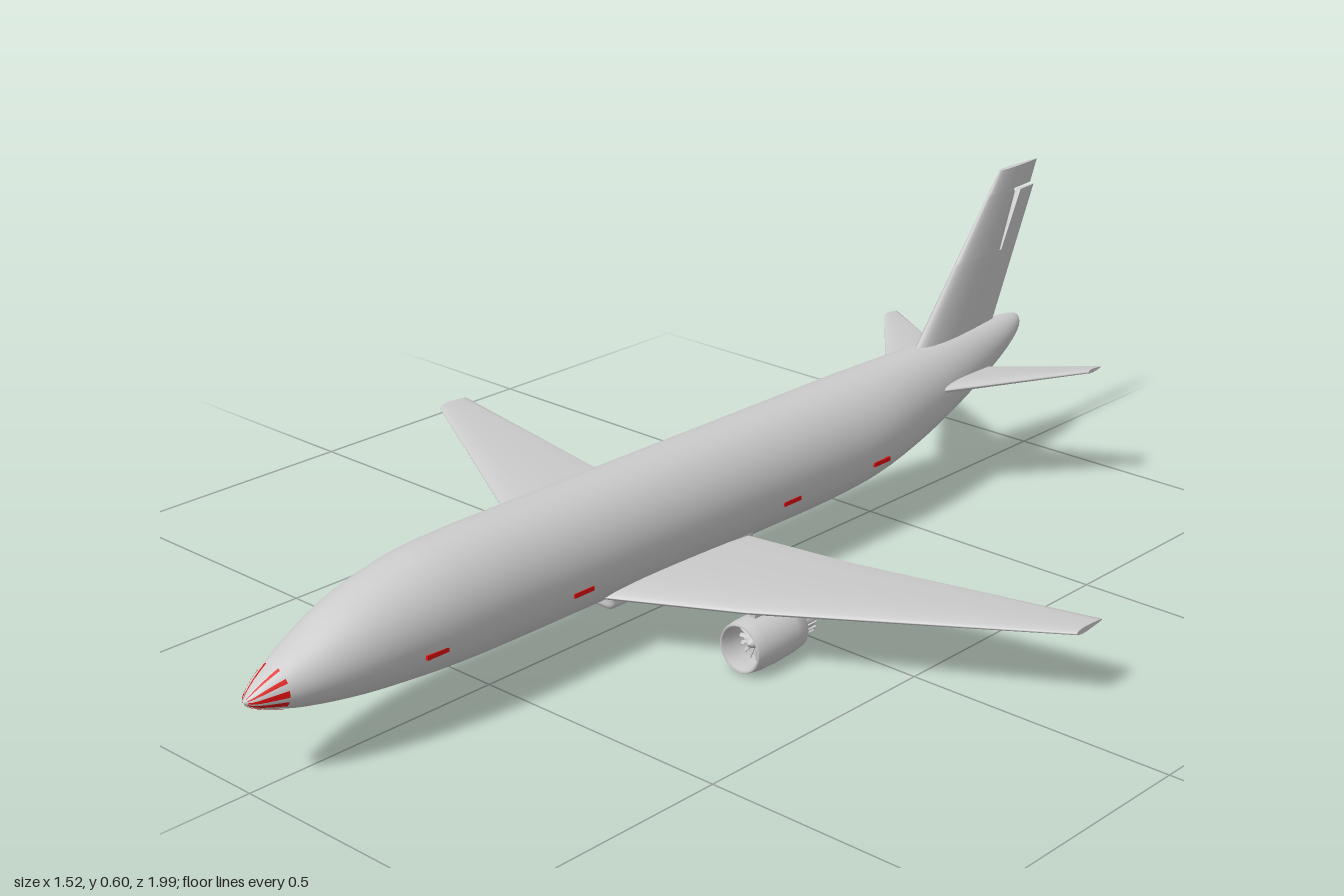
import * as THREE from 'three';
import { RoundedBoxGeometry } from 'three/addons/geometries/RoundedBoxGeometry.js';

const V = (x, y, z) => new THREE.Vector3(x, y, z);

// Skin a list of closed rings (equal point counts) and close both ends
function loft(rings) {
  const n = rings[0].length, pos = [], idx = [];
  rings.forEach(r => r.forEach(p => pos.push(p.x, p.y, p.z)));
  for (let i = 0; i < rings.length - 1; i++) {
    for (let j = 0; j < n; j++) {
      const a = i * n + j, b = i * n + (j + 1) % n;
      idx.push(a, b, a + n, b, b + n, a + n);
    }
  }
  [0, rings.length - 1].forEach((k, end) => {
    const base = pos.length / 3;
    rings[k].forEach(p => pos.push(p.x, p.y, p.z));
    for (let j = 0; j < n / 2 - 1; j++) {
      const a = base + j, b = base + j + 1, c = base + n - 1 - j, d = base + n - 2 - j;
      if (end) idx.push(a, b, c, b, d, c);
      else idx.push(a, c, b, b, c, d);
    }
  });
  // turn the faces outwards if the enclosed volume is negative
  let vol = 0;
  const at = i => V(pos[3 * i], pos[3 * i + 1], pos[3 * i + 2]);
  for (let i = 0; i < idx.length; i += 3) vol += at(idx[i]).dot(at(idx[i + 1]).cross(at(idx[i + 2])));
  if (vol < 0) idx.reverse();
  const g = new THREE.BufferGeometry();
  g.setAttribute('position', new THREE.Float32BufferAttribute(pos, 3));
  g.setIndex(idx);
  g.computeVertexNormals();
  return g;
}

// Aerofoil panel: each section has leading edge, trailing edge, thickness and chord range u0..u1
function aerofoil(sections, dir) {
  const steps = 10;
  return loft(sections.map(({ le, te, t, u0 = 0, u1 = 1 }) => {
    const side = s => Array.from({ length: steps + 1 }, (_, i) => {
      const u = u0 + (u1 - u0) * (i / steps) ** 1.6;
      const h = t * (1.48 * Math.sqrt(u) - 0.63 * u - 1.76 * u * u + 1.42 * u ** 3 - 0.5 * u ** 4) + 0.0008;
      return le.clone().lerp(te, u).addScaledVector(dir, s * h);
    });
    return [...side(1), ...side(-1).reverse()];
  }));
}

// Fuselage stations: z, bottom, top, half width
const STATIONS = [
  [1, .155, .155, 0], [.99, .145, .166, .013], [.96, .132, .187, .03], [.9, .115, .218, .055],
  [.8, .098, .262, .08], [.68, .087, .29, .095], [.58, .082, .298, .1], [.45, .08, .3, .1],
  [.2, .08, .3, .1], [-.1, .08, .3, .1], [-.3, .08, .3, .1], [-.45, .09, .3, .097],
  [-.6, .118, .3, .078], [-.75, .165, .3, .056], [-.87, .215, .299, .036], [-.93, .25, .296, .021],
  [-.95, .27, .289, .008], [-.953, .28, .28, 0],
];
const LAST = STATIONS.length - 1;
const heightCurve = new THREE.CatmullRomCurve3(STATIONS.map(s => V(s[0], s[1], s[2])), false, 'catmullrom');
const widthCurve = new THREE.CatmullRomCurve3(STATIONS.map(s => V(s[0], s[3], 0)), false, 'catmullrom');

function hullPoint(station, angle, lift = 0) {
  const h = heightCurve.getPoint(station / LAST), w = widthCurve.getPoint(station / LAST).y;
  return V(Math.cos(angle) * (w + lift), (h.y + h.z) / 2 + Math.sin(angle) * ((h.z - h.y) / 2 + lift), h.x);
}

export function createModel() {
  const model = new THREE.Group();
  const grey = new THREE.MeshStandardMaterial({ color: 0xcccccc });
  const greyThin = new THREE.MeshStandardMaterial({ color: 0xcccccc, side: THREE.DoubleSide });
  const red = new THREE.MeshStandardMaterial({ color: 0xe01010, side: THREE.DoubleSide });
  const add = (name, geo, mat = grey, parent = model) => {
    const m = new THREE.Mesh(geo, mat);
    m.name = name;
    parent.add(m);
    return m;
  };

  // Fuselage
  const rings = [];
  for (let i = 0; i <= LAST * 4; i++) {
    rings.push(Array.from({ length: 48 }, (_, j) => hullPoint(i / 4, j / 48 * Math.PI * 2)));
  }
  add('fuselage', loft(rings));
  add('bellyFairing', new RoundedBoxGeometry(.145, .045, .37, 3, .012).translate(0, .1035, .1));

  // Red streaks fanning out from the nose tip: angle, half width in degrees
  [[0, 9], [180, 9], [33, 6], [147, 6], [66, 4], [114, 4], [-30, 8], [210, 8], [-60, 5], [240, 5], [-90, 3]]
    .forEach(([deg, half]) => {
      const pos = [], idx = [];
      for (let i = 0; i <= 6; i++) {
        for (const s of [-1, 0, 1]) {
          const p = hullPoint(.45 + i * .32, (deg + s * half) * Math.PI / 180, .0015);
          pos.push(p.x, p.y, p.z);
        }
        if (i < 6) {
          for (const k of [0, 1]) {
            const a = i * 3 + k;
            idx.push(a, a + 3, a + 1, a + 1, a + 3, a + 4);
          }
        }
      }
      const g = new THREE.BufferGeometry();
      g.setAttribute('position', new THREE.Float32BufferAttribute(pos, 3));
      g.setIndex(idx);
      g.computeVertexNormals();
      add('noseStreak', g, red);
    });

  const up = V(0, 1, 0), across = V(1, 0, 0);
  for (const s of [1, -1]) {
    const side = s > 0 ? 'left' : 'right';

    // Main wing
    add(side + 'Wing', aerofoil([
      { le: V(0, .109, .33), te: V(0, .109, -.055), t: .026 },
      { le: V(s * .28, .109, .177), te: V(s * .28, .112, -.092), t: .021 },
      { le: V(s * .76, .134, -.085), te: V(s * .76, .136, -.155), t: .009 },
    ], up));

    // Tailplane
    add(side + 'Tailplane', aerofoil([
      { le: V(0, .222, -.535), te: V(0, .222, -.775), t: .02 },
      { le: V(s * .075, .231, -.63), te: V(s * .075, .231, -.81), t: .016 },
      { le: V(s * .25, .254, -.845), te: V(s * .25, .254, -.885), t: .006 },
    ], up));

    // Red door marks along the side
    for (const [z, x] of [[.688, .0885], [.37, .0945], [-.157, .0945], [-.412, .0935]]) {
      add(side + 'DoorMark', new THREE.BoxGeometry(.006, .008, .045).translate(s * x, .155, z), red);
    }

    // Engine, built along z around its own axis
    const engine = new THREE.Group();
    engine.name = side + 'Engine';
    engine.position.set(s * .28, .048, 0);
    model.add(engine);
    const lathe = pts => new THREE.LatheGeometry(pts.map(p => new THREE.Vector2(...p)), 32).rotateX(Math.PI / 2);
    add('nacelle', lathe([[.026, .062], [.041, .062], [.045, .09], [.047, .13], [.0465, .17], [.044, .19],
      [.0415, .194], [.039, .19], [.037, .17], [.037, .13]]), greyThin, engine);
    add('fanDisc', new THREE.CircleGeometry(.038, 32).translate(0, 0, .14), greyThin, engine);
    add('fanHub', lathe([[.013, .14], [.011, .155], [.006, .167], [0, .171]]), greyThin, engine);
    for (let i = 0; i < 16; i++) {
      const a = i / 16 * Math.PI * 2;
      add('fanBlade', new THREE.BoxGeometry(.007, .027, .0015).rotateY(.6)
        .translate(0, .0235, .148).rotateZ(a), grey, engine);
      add('exhaustRib', new THREE.BoxGeometry(.002, .006, .04).translate(0, .024, .042).rotateZ(a), grey, engine);
    }
    add('exhaustCore', lathe([[0, -.004], [.005, -.002], [.009, .016], [.019, .018], [.023, .024], [.024, .065]]), greyThin, engine);
    add('pylon', new THREE.BoxGeometry(.012, .03, .13).translate(0, .05, .095), grey, engine);
  }

  // Fin with a slot ahead of the rudder; height sets the sweep and thickness
  const finSection = (y, u0, u1) => {
    const k = (y - .3) / .3;
    const teZ = y > .552 ? -.975 - (y - .555) * .44 : -.87 - (y - .3) * .47;
    return { le: V(0, y, -.63 - .245 * k), te: V(0, y, teZ), t: .03 - .02 * k, u0, u1 };
  };
  const finPanel = (name, ...sections) => add(name, aerofoil(sections.map(a => finSection(...a)), across));
  finPanel('finBase', [.27, 0, 1], [.44, 0, 1]);
  finPanel('finFront', [.44, 0, .68], [.55, 0, .55], [.557, 0, .56]);
  finPanel('rudder', [.44, .71, 1], [.55, .68, 1]);
  finPanel('finTip', [.557, 0, 1], [.6, 0, 1]);

  return model;
}
